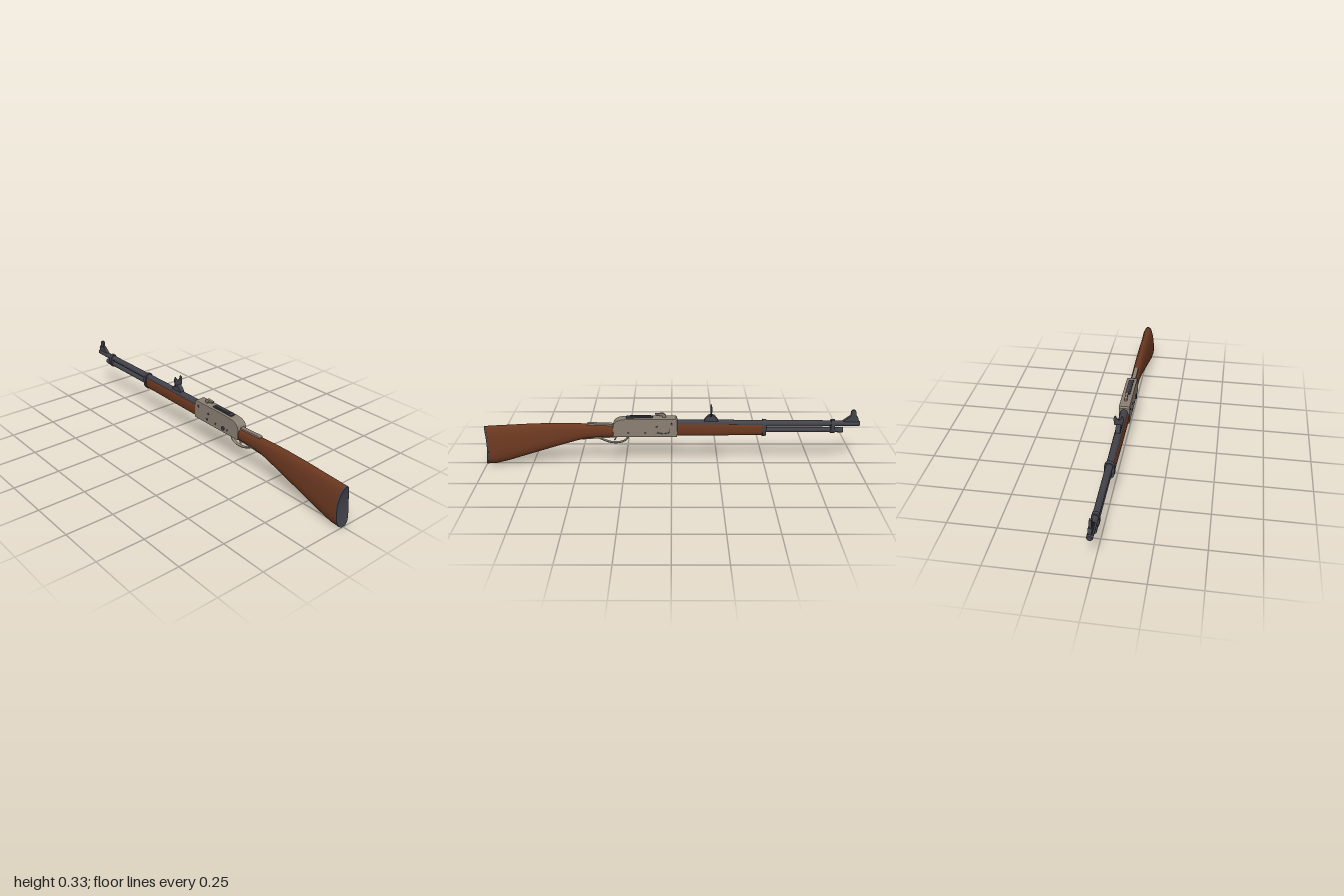
import * as THREE from 'three';
import { toCreasedNormals } from 'three/addons/utils/BufferGeometryUtils.js';

const mat = (name, color) => {
  const m = new THREE.MeshStandardMaterial({ color });
  m.name = name;
  return m;
};

export function createModel() {
  const group = new THREE.Group();
  const wood = mat('walnut wood', 0x6b3820);
  const steel = mat('blued steel', 0x42424a);
  const nickel = mat('receiver metal', 0x8b8074);

  function add(name, geometry, material) {
    const mesh = new THREE.Mesh(geometry, material);
    mesh.name = name;
    group.add(mesh);
    return mesh;
  }

  // Loft of rounded sections [z, yBottom, yTop, halfWidth, taper toward top, hollow]
  function loft(sections, power = 0.8, n = 40) {
    const pos = [], idx = [];
    const spow = (v) => Math.sign(v) * Math.abs(v) ** power;
    for (const [z, y0, y1, w, taper = 0, hollow = 0] of sections) {
      for (let i = 0; i < n; i++) {
        const t = (i / n) * Math.PI * 2;
        const v = spow(Math.cos(t));
        const x = w * spow(Math.sin(t)) * (1 - (taper * (v + 1)) / 2);
        pos.push(x, (y0 + y1) / 2 + (v * (y1 - y0)) / 2, z - hollow * (1 - v * v));
      }
    }
    const last = (sections.length - 1) * n;
    for (let s = 0; s < last; s += n) {
      for (let i = 0; i < n; i++) {
        const j = (i + 1) % n;
        idx.push(s + i, s + n + i, s + j, s + j, s + n + i, s + n + j);
      }
    }
    // End caps as strips between mirrored points
    for (let i = 0; i < n / 2; i++) {
      const a = i, b = (n - i) % n, c = n - i - 1, d = i + 1;
      if (i > 0) idx.push(last + a, last + b, last + c, a, c, b);
      if (i < n / 2 - 1) idx.push(last + a, last + c, last + d, a, d, c);
    }
    const g = new THREE.BufferGeometry();
    g.setAttribute('position', new THREE.Float32BufferAttribute(pos, 3));
    g.setIndex(idx);
    return toCreasedNormals(g, 0.7);
  }

  // Side profile of [z, y] points, extruded across x
  function sidePlate(points, width, bevel = 0) {
    const shape = new THREE.Shape(points.map((p) => new THREE.Vector2(...p)));
    const g = new THREE.ExtrudeGeometry(shape, {
      depth: width - 2 * bevel, bevelEnabled: bevel > 0,
      bevelSize: bevel, bevelOffset: -bevel, bevelThickness: bevel, bevelSegments: 2,
    });
    g.translate(0, 0, -(width - 2 * bevel) / 2);
    return g.rotateY(-Math.PI / 2);
  }

  // Cylinder along z from z0 to z1
  function rod(r0, r1, z0, z1, y) {
    const g = new THREE.CylinderGeometry(r1, r0, Math.abs(z1 - z0), 28);
    return g.rotateX(-Math.PI / 2).translate(0, y, (z0 + z1) / 2);
  }

  function box(w, y0, y1, z0, z1) {
    return new THREE.BoxGeometry(w, y1 - y0, z1 - z0).translate(0, (y0 + y1) / 2, (z0 + z1) / 2);
  }

  function tube(points, r, wide = 1) {
    const curve = new THREE.CatmullRomCurve3(points.map(([z, y]) => new THREE.Vector3(0, y, z)));
    return new THREE.TubeGeometry(curve, 40, r, 10).scale(wide, 1, 1);
  }

  // Shoulder stock and its hollowed butt plate
  add('stock', loft([
    [0.30, 0.162, 0.224, 0.027, 0.1],
    [0.40, 0.156, 0.228, 0.025, 0.15],
    [0.47, 0.147, 0.231, 0.027, 0.2],
    [0.54, 0.127, 0.234, 0.030, 0.25],
    [0.62, 0.103, 0.234, 0.034, 0.3],
    [0.75, 0.062, 0.230, 0.039, 0.35],
    [0.88, 0.021, 0.223, 0.044, 0.4],
    [0.95, 0.003, 0.219, 0.047, 0.4],
    [0.992, 0.002, 0.216, 0.048, 0.4, 0.013],
  ]), wood);
  add('buttPlate', loft([
    [0.991, 0.001, 0.217, 0.049, 0.4, 0.013],
    [1.0, 0.002, 0.216, 0.0485, 0.4, 0.013],
  ]), steel);

  // Receiver with rounded rear shoulder
  add('receiver', sidePlate([
    [-0.03, 0.165], [0.31, 0.165], [0.312, 0.225], [0.308, 0.24], [0.296, 0.253],
    [0.278, 0.262], [0.25, 0.266], [0.18, 0.268], [-0.022, 0.268], [-0.03, 0.26],
  ], 0.058, 0.004), nickel);
  add('bolt', box(0.026, 0.255, 0.274, 0.10, 0.24), steel);
  add('boltRib', box(0.012, 0.27, 0.277, 0.11, 0.22), steel);
  add('hammer', sidePlate([
    [0.03, 0.262], [0.05, 0.262], [0.047, 0.278], [0.085, 0.281],
    [0.087, 0.289], [0.045, 0.292], [0.031, 0.282],
  ], 0.014), nickel);

  // Tangs, lever and trigger
  add('upperTang', sidePlate([[0.30, 0.218], [0.45, 0.224], [0.45, 0.233], [0.44, 0.236], [0.30, 0.231]], 0.022), nickel);
  add('lowerTang', sidePlate([[0.30, 0.155], [0.39, 0.149], [0.48, 0.143], [0.48, 0.15], [0.39, 0.162], [0.30, 0.167]], 0.018), nickel);
  add('leverBar', box(0.022, 0.158, 0.168, 0.0, 0.25), nickel);
  add('leverLoop', tube([
    [0.23, 0.162], [0.238, 0.147], [0.255, 0.132], [0.29, 0.123],
    [0.33, 0.126], [0.365, 0.139], [0.39, 0.152],
  ], 0.005, 1.8), nickel);
  add('trigger', tube([[0.30, 0.166], [0.298, 0.15], [0.308, 0.137]], 0.0035, 1.3), nickel);

  // Screws on both sides, a larger pivot on the right
  for (const side of [1, -1]) {
    for (const [z, y] of [[0.23, 0.19], [0.14, 0.19], [0.07, 0.19], [0.08, 0.225], [0, 0.24]]) {
      const g = new THREE.CylinderGeometry(0.006, 0.006, 0.005, 14).rotateZ(Math.PI / 2);
      add('receiverScrew', g.translate(side * 0.029, y, z), steel);
    }
  }
  add('pivotScrew', new THREE.CylinderGeometry(0.01, 0.01, 0.01, 18)
    .rotateZ(Math.PI / 2).translate(-0.031, 0.19, 0.2), steel);

  // Loading gate outline
  add('loadingGate', tube([
    [0.085, 0.188], [0.03, 0.187], [0.016, 0.191], [0.012, 0.2], [0.012, 0.216],
  ], 0.0015), steel).position.x = 0.029;

  // Fore-end, barrel and magazine tube
  add('foreEnd', loft([
    [-0.485, 0.17, 0.240, 0.0235, 0.1],
    [-0.25, 0.167, 0.242, 0.026, 0.1],
    [-0.03, 0.165, 0.243, 0.027, 0.1],
  ], 0.7), wood);
  add('barrel', rod(0.020, 0.015, -0.02, -0.995, 0.234), steel);
  add('muzzleCrown', rod(0.015, 0.012, -0.995, -1.0, 0.234), steel);
  add('magazineTube', rod(0.0135, 0.0135, -0.4, -0.905, 0.197), steel);
  add('magazineCap', rod(0.0155, 0.0155, -0.885, -0.912, 0.197), steel);
  add('foreEndBand', loft([
    [-0.502, 0.165, 0.256, 0.026],
    [-0.482, 0.163, 0.257, 0.027],
  ], 0.75), steel);
  add('muzzleBand', loft([
    [-0.867, 0.179, 0.256, 0.0195],
    [-0.846, 0.179, 0.256, 0.0195],
  ], 0.7), steel);

  // Rear sight: stepped base with an upright notched leaf
  add('rearSightBase', sidePlate([
    [-0.25, 0.245], [-0.17, 0.245], [-0.178, 0.262], [-0.192, 0.277],
    [-0.21, 0.285], [-0.228, 0.277], [-0.242, 0.26],
  ], 0.024), steel);
  const half = [[0.022, 0.278], [0.023, 0.295], [0.026, 0.312], [0.024, 0.322], [0.018, 0.333], [0.013, 0.326], [0.010, 0.315], [0.006, 0.312]];
  const outline = [...half, ...half.map(([x, y]) => [-x, y]).reverse()];
  const leafShape = new THREE.Shape(outline.map((p) => new THREE.Vector2(...p)));
  add('rearSightLeaf', new THREE.ExtrudeGeometry(leafShape, { depth: 0.007, bevelEnabled: false })
    .translate(0, 0, -0.2135), steel);

  // Front sight: ramp and blade
  add('frontSightRamp', sidePlate([
    [-0.99, 0.244], [-0.905, 0.244], [-0.915, 0.252], [-0.945, 0.276], [-0.983, 0.276], [-0.99, 0.265],
  ], 0.018), steel);
  add('frontSightBlade', sidePlate([
    [-0.98, 0.27], [-0.948, 0.27], [-0.95, 0.302], [-0.956, 0.31], [-0.97, 0.31], [-0.976, 0.3],
  ], 0.012), steel);

  return group;
}
